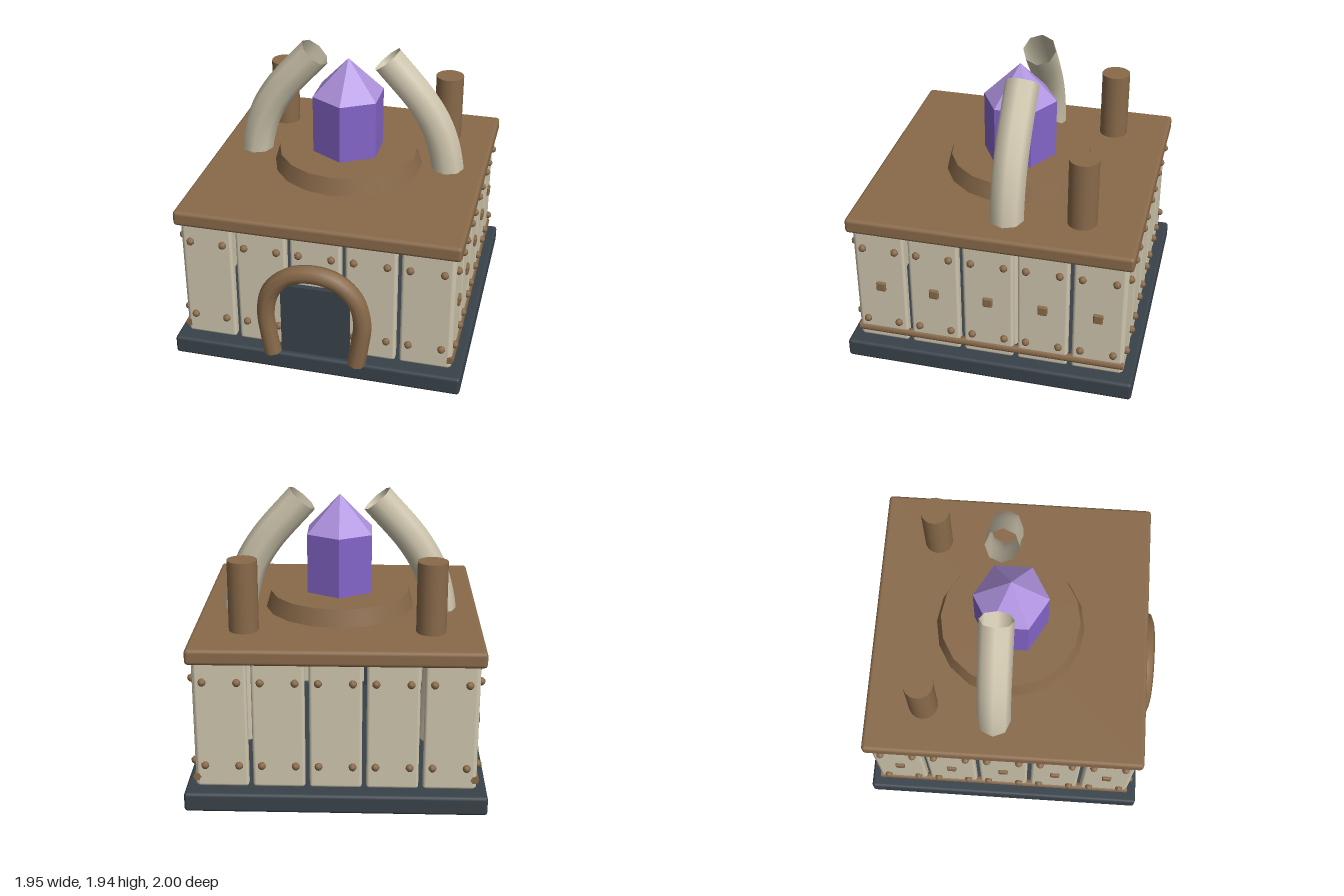
import * as THREE from 'three';
import { RoundedBoxGeometry } from 'three/addons/geometries/RoundedBoxGeometry.js';

const material = (name, color, extra = {}) => {
  const m = new THREE.MeshStandardMaterial({ color, ...extra });
  m.name = name;
  return m;
};

export function createModel() {
  const bone = material('bone', 0xcfc6ae, { side: THREE.DoubleSide });
  const wood = material('brown wood', 0x896a4a, { side: THREE.DoubleSide });
  const slate = material('dark slate', 0x39424a);
  const crystalBody = material('purple crystal', 0x8465c8, { flatShading: true });
  const crystalTip = material('light purple crystal', 0xae92de, { flatShading: true });

  const model = new THREE.Group();
  model.name = 'hut';
  const CZ = -0.022; // depth centre of the building

  const add = (name, geometry, mat, x, y, z, parent = model) => {
    const mesh = new THREE.Mesh(geometry, mat);
    mesh.name = name;
    mesh.position.set(x, y, z);
    parent.add(mesh);
    return mesh;
  };
  const box = (w, h, d, r) => new RoundedBoxGeometry(w, h, d, 2, r);

  // Foundation and roof slabs
  add('foundation', box(1.954, 0.13, 1.954, 0.022), slate, 0, 0.065, CZ);
  add('roof', box(1.88, 0.105, 1.88, 0.025), wood, 0, 1.0525, CZ);

  // Four walls of five riveted planks, each built facing +z then turned
  const plank = box(0.336, 0.88, 0.07, 0.02);
  const rivet = new THREE.SphereGeometry(0.026, 8, 6);
  const stud = box(0.064, 0.068, 0.04, 0.01);
  const rail = new THREE.CylinderGeometry(0.028, 0.028, 1.81, 6);
  rail.rotateZ(Math.PI / 2);
  ['frontWall', 'leftWall', 'backWall', 'rightWall'].forEach((name, side) => {
    const wall = new THREE.Group();
    wall.name = name;
    wall.position.z = CZ;
    wall.rotation.y = side * Math.PI / 2;
    model.add(wall);
    for (let i = -2; i <= 2; i++) {
      const x = i * 0.364;
      add('plank', plank, bone, x, 0.59, 0.87, wall);
      for (const dx of [-0.109, 0.109]) {
        for (const y of [0.305, 0.88]) add('rivet', rivet, wood, x + dx, y, 0.913, wall);
      }
      if (side % 2) add('squareStud', stud, wood, x, 0.587, 0.904, wall);
    }
    if (side % 2) add('rail', rail, wood, 0, 0.217, 0.893, wall);
  });

  // Doorway with a bent arch
  add('door', new THREE.BoxGeometry(0.46, 0.525, 0.1), slate, 0, 0.3925, 0.87);
  const archPoints = [
    [-0.285, 0.13], [-0.31, 0.29], [-0.325, 0.45], [-0.285, 0.62], [-0.165, 0.745], [0, 0.785],
    [0.165, 0.745], [0.285, 0.62], [0.325, 0.45], [0.31, 0.29], [0.285, 0.13],
  ].map(([x, y]) => new THREE.Vector3(x, y, 0.94));
  add('doorArch', new THREE.TubeGeometry(new THREE.CatmullRomCurve3(archPoints), 40, 0.061, 8), wood, 0, 0, 0);

  // Tapered pedestal and six-sided crystal
  add('pedestal', new THREE.CylinderGeometry(0.475, 0.56, 0.29, 18), wood, 0, 1.075, -0.028);
  add('crystal', new THREE.CylinderGeometry(0.25, 0.25, 0.45, 6), crystalBody, 0, 1.4, CZ);
  add('crystalTip', new THREE.ConeGeometry(0.25, 0.25, 6, 1, true), crystalTip, 0, 1.75, CZ);

  // Hollow curved tusks rising from the foundation, and rear posts
  for (const s of [-1, 1]) {
    const path = [
      [0.665, 0.13], [0.69, 0.6], [0.682, 1.1], [0.615, 1.37], [0.5, 1.575], [0.25, 1.863],
    ].map(([x, y]) => new THREE.Vector3(s * x, y, -0.095));
    add('tusk', new THREE.TubeGeometry(new THREE.CatmullRomCurve3(path), 36, 0.113, 8), bone, 0, 0, 0);
    add('post', new THREE.CylinderGeometry(0.098, 0.098, 0.545, 16), wood, s * 0.606, 1.3025, -0.574);
  }
  return model;
}
